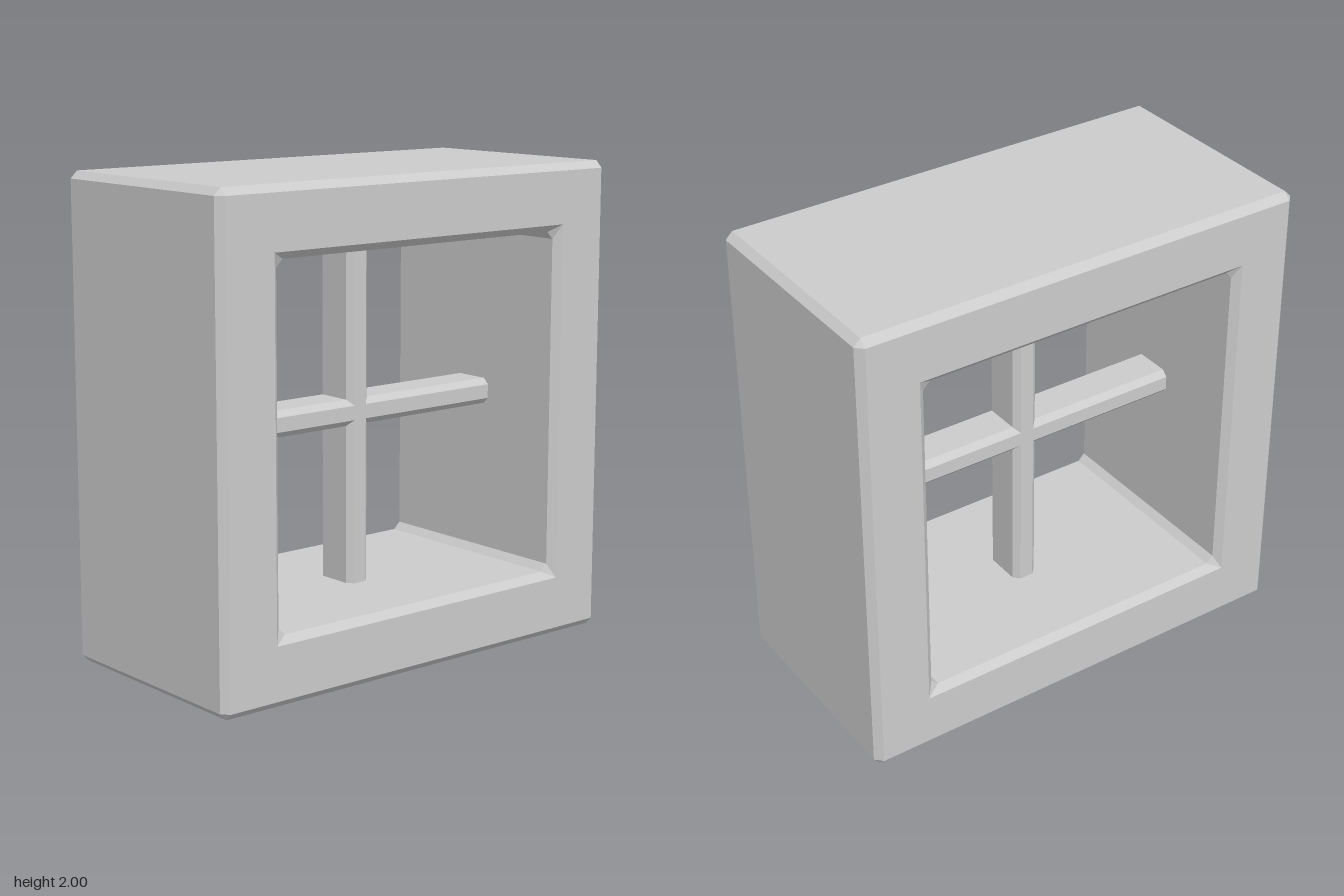
import * as THREE from 'three';

const material = new THREE.MeshStandardMaterial({ color: 0xcccccc, flatShading: true });

// Skin a list of equal-length rings (counter-clockwise, running towards -z)
function loft(rings, closed) {
  const positions = [];
  const addTriangle = (a, b, c) => {
    if (new THREE.Triangle(a, b, c).getArea() < 1e-7) return; // collapsed corner
    for (const p of [a, b, c]) positions.push(p.x, p.y, p.z);
  };
  const count = closed ? rings.length : rings.length - 1;
  for (let i = 0; i < count; i++) {
    const r = rings[i], s = rings[(i + 1) % rings.length];
    for (let j = 0; j < r.length; j++) {
      const k = (j + 1) % r.length;
      addTriangle(r[j], s[j], s[k]);
      addTriangle(r[j], s[k], r[k]);
    }
  }
  const geometry = new THREE.BufferGeometry();
  geometry.setAttribute('position', new THREE.Float32BufferAttribute(positions, 3));
  geometry.computeVertexNormals();
  return geometry;
}

// Square ring of half size h with its corners cut back to c (c = h: sharp)
function squareRing(h, c, z) {
  return [[h, -c], [h, c], [c, h], [-c, h], [-h, c], [-h, -c], [-c, -h], [c, -h]]
    .map(([x, y]) => new THREE.Vector3(x, y, z));
}

export function createModel() {
  const group = new THREE.Group();
  group.name = 'window';

  // Deep square frame, bevelled outside and around the opening
  const frame = new THREE.Mesh(loft([
    squareRing(0.97, 0.97, 0.5),
    squareRing(1, 0.97, 0.47),
    squareRing(1, 0.97, -0.47),
    squareRing(0.97, 0.97, -0.5),
    squareRing(0.75, 0.75, -0.5),
    squareRing(0.72, 0.69, -0.47),
    squareRing(0.72, 0.69, 0.47),
    squareRing(0.75, 0.75, 0.5),
  ], true), material);
  frame.name = 'frame';
  frame.position.y = 1;
  group.add(frame);

  // Cross of four bevelled bars, mitred where they meet in the middle
  const w = 0.055, d = 0.1, bevel = 0.025;
  const section = [
    [w, bevel - d], [w, d - bevel], [w - bevel, d], [0, d], [bevel - w, d],
    [-w, d - bevel], [-w, bevel - d], [bevel - w, -d], [0, -d], [w - bevel, -d],
  ];
  const barGeometry = loft([
    section.map(([x, y]) => new THREE.Vector3(x, y, -Math.abs(x))),
    section.map(([x, y]) => new THREE.Vector3(x, y, -0.72)),
  ], false).rotateX(Math.PI / 2);

  const cross = new THREE.Group();
  cross.name = 'glazingBars';
  cross.position.y = 1;
  ['topBar', 'rightBar', 'bottomBar', 'leftBar'].forEach((name, i) => {
    const bar = new THREE.Mesh(barGeometry, material);
    bar.name = name;
    bar.rotation.z = i * Math.PI / 2;
    cross.add(bar);
  });
  group.add(cross);

  return group;
}
